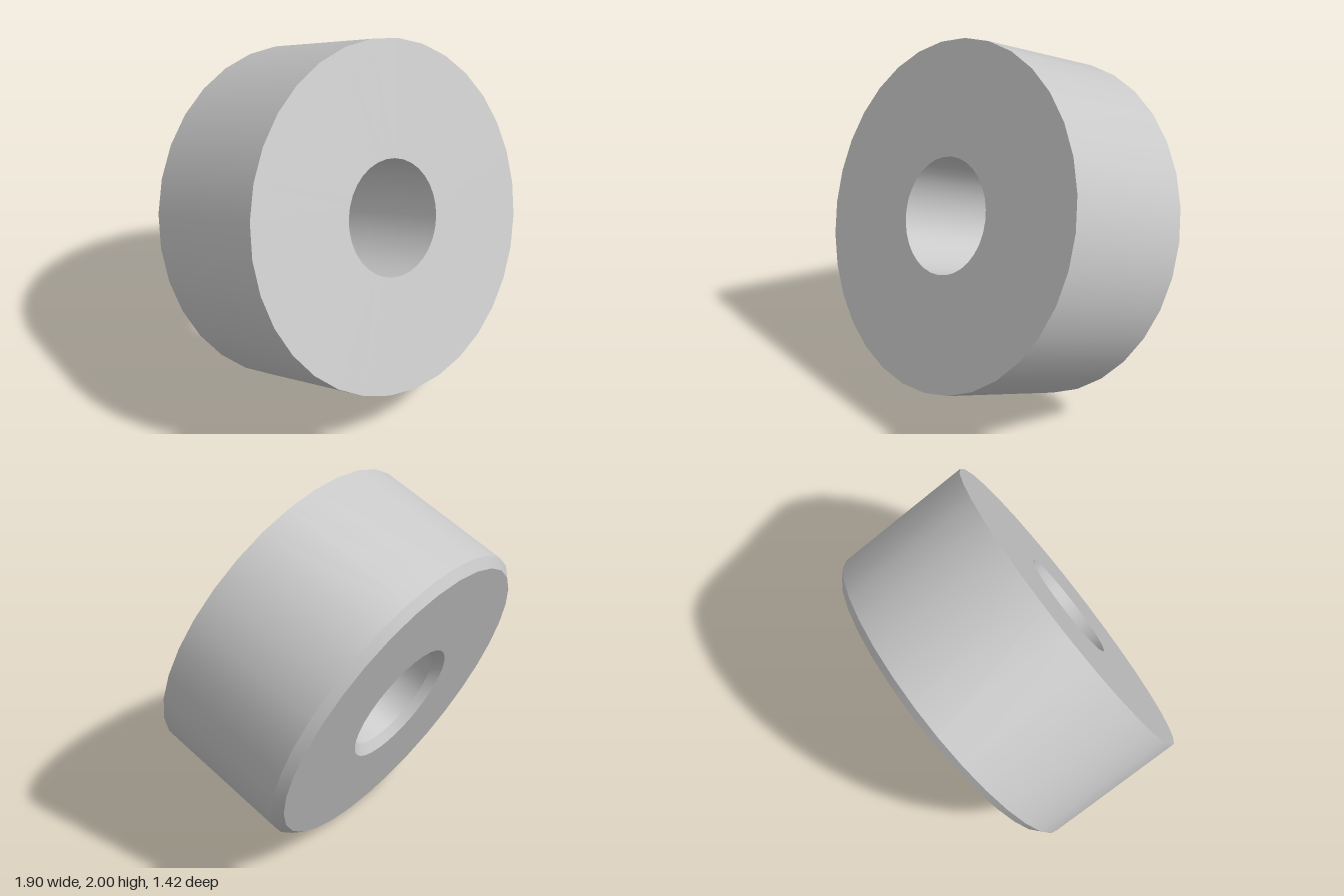
import * as THREE from 'three';
import { mergeGeometries } from 'three/addons/utils/BufferGeometryUtils.js';

export function createModel() {
  const model = new THREE.Group();
  const grey = new THREE.MeshStandardMaterial({ color: 0xc8c8c8 });
  grey.name = 'light grey';

  const R = 0.92, r = 0.307, h = 0.826, c = 0.046, sides = 32;

  // Closed ring section, starting at the chamfered back face
  const section = [
    [r + c, 0], [R - c, 0], [R, c], [R, h], [r, h], [r, c], [r + c, 0],
  ].map(([x, y]) => new THREE.Vector2(x, y));

  // One lathe per band keeps the edges between bands sharp
  const bands = [];
  for (let i = 0; i < section.length - 1; i++) {
    bands.push(new THREE.LatheGeometry([section[i], section[i + 1]], sides));
  }
  const geometry = mergeGeometries(bands);
  geometry.rotateX(Math.PI / 2); // axis along z, plain face to the front

  // Thick ring, leaning back and turned slightly
  const ring = new THREE.Mesh(geometry, grey);
  ring.name = 'chamferedRing';
  ring.rotation.set(-0.364, -0.09, 0);
  ring.position.set(0.037, 0.847, -0.393);
  model.add(ring);
  return model;
}
